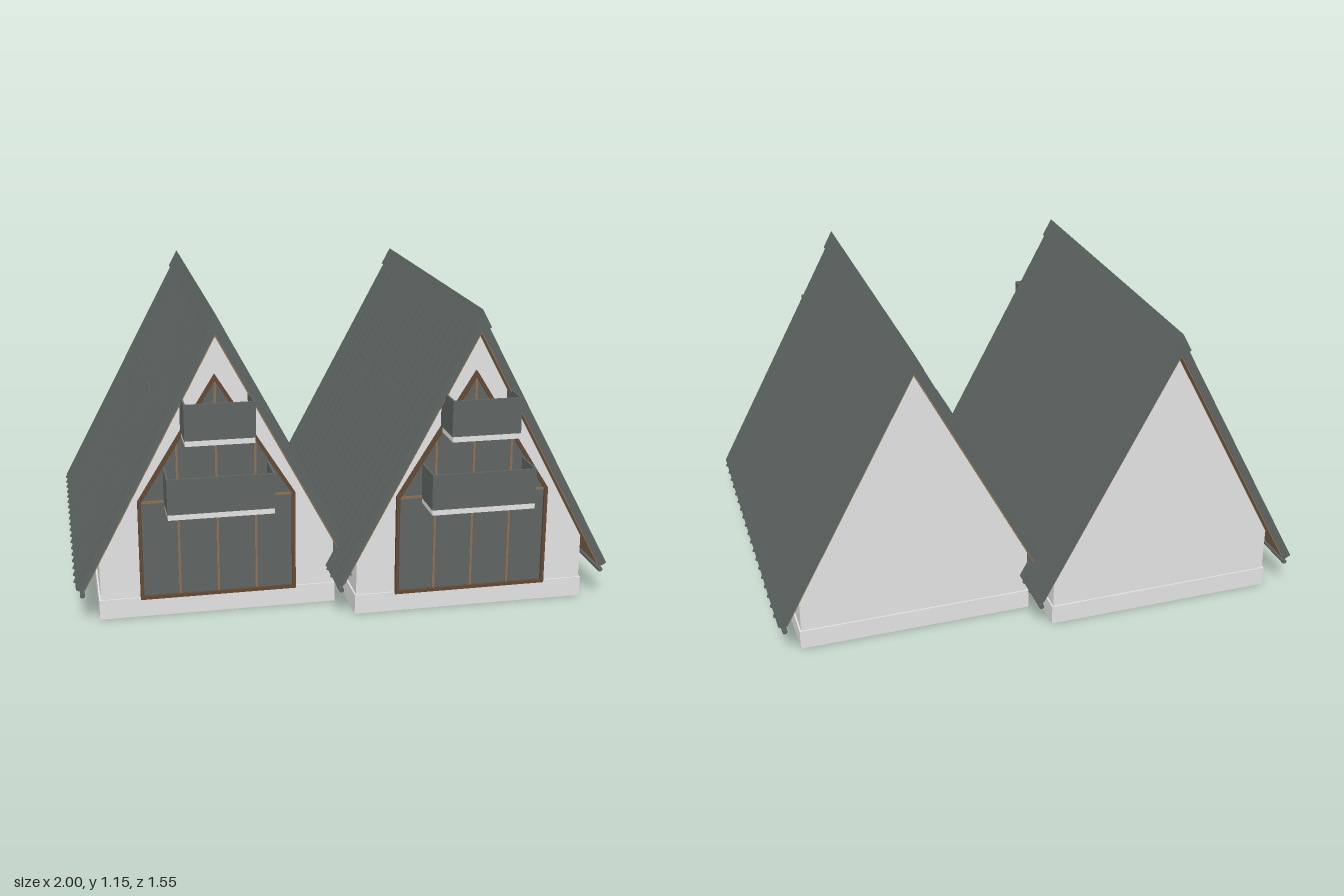
import * as THREE from 'three';

const mat = (name, color, side = THREE.FrontSide) => {
  const m = new THREE.MeshStandardMaterial({ color, side });
  m.name = name;
  return m;
};

// Roof pitch, ridge height and slope length
const RIDGE = 1.13, COS = 0.4705, SIN = 0.8824, SLOPE = 1.115, HALF = 0.6635;

export function createModel() {
  const wallMat = mat('offWhiteWall', 0xe4e4e4);
  const roofMat = mat('greyRoof', 0x5e6562);
  const panelMat = mat('greyGlass', 0x5f6663);
  const frameMat = mat('brownFrame', 0x634a35);
  const woodMat = mat('tanWood', 0x8a7055);
  const model = new THREE.Group();
  model.name = 'twinCabins';

  const add = (parent, name, geo, material, x = 0, y = 0, z = 0) => {
    const m = new THREE.Mesh(geo, material);
    m.name = name;
    m.position.set(x, y, z);
    parent.add(m);
    return m;
  };
  const box = (parent, name, material, w, h, d, x, y, z) =>
    add(parent, name, new THREE.BoxGeometry(w, h, d), material, x, y, z);
  const shapeOf = pts => new THREE.Shape(pts.map(p => new THREE.Vector2(...p)));
  const extrude = (shape, depth) => new THREE.ExtrudeGeometry(shape, { depth, bevelEnabled: false });

  // Strip lying on one slope: d runs down from the ridge, h is height above the roof plane
  const strip = (parent, name, material, s, d0, d1, h0, h1, z0, z1) => {
    const pt = (d, h) => [s * (d * COS + h * SIN), RIDGE - d * SIN + h * COS];
    const top = h => (d0 === 0 ? -h * SIN / COS : d0); // mitre at the ridge
    const shape = shapeOf([pt(top(h0), h0), pt(d1, h0), pt(d1, h1), pt(top(h1), h1)]);
    return add(parent, name, extrude(shape, z1 - z0), material, 0, 0, z0);
  };

  // Gable window outline, inset by i
  const windowOutline = i => {
    const w = 0.29 - i, apex = 0.915 - 1.887 * i;
    return [[-w, 0.07 + i], [w, 0.07 + i], [w, apex - 1.6 * w], [0, apex], [-w, apex - 1.6 * w]];
  };

  const buildRoof = house => {
    const roof = new THREE.Group();
    roof.name = 'roof';
    house.add(roof);
    for (const s of [-1, 1]) {
      strip(roof, 'roofSlab', roofMat, s, 0, SLOPE, -0.028, 0, -HALF, HALF);
      strip(roof, 'soffit', woodMat, s, 0, SLOPE - 0.01, -0.033, -0.028, -HALF + 0.004, HALF - 0.004);
      strip(roof, 'ridgeCap', roofMat, s, 0, 0.06, 0, 0.008, -HALF, HALF);
      // Standing seams
      for (let i = 1; i < 20; i++) {
        const z = -HALF + i * HALF / 10;
        strip(roof, 'roofSeam', roofMat, s, 0.06, SLOPE, 0, 0.008, z - 0.005, z + 0.005);
      }
      // Eave gutter
      const gutter = new THREE.CylinderGeometry(0.009, 0.009, 2 * HALF, 10);
      gutter.rotateX(Math.PI / 2);
      add(roof, 'gutter', gutter, roofMat, s * 0.502, 0.12, 0);
    }
    // Skylights on the right-hand slope only
    for (const z of [-0.236, 0.188]) {
      strip(roof, 'skylightFrame', roofMat, -1, 0.415, 0.523, 0, 0.013, z - 0.076, z + 0.076);
      strip(roof, 'skylightGlass', panelMat, -1, 0.427, 0.511, 0.013, 0.015, z - 0.064, z + 0.064);
    }
  };

  const buildWindow = (house, z) => {
    const win = new THREE.Group();
    win.name = 'gableWindow';
    house.add(win);
    add(win, 'windowGlass', extrude(shapeOf(windowOutline(0.005)), 0.005), panelMat, 0, 0, z);
    const frame = shapeOf(windowOutline(0));
    frame.holes.push(new THREE.Path(windowOutline(0.013).map(p => new THREE.Vector2(...p))));
    add(win, 'windowFrame', extrude(frame, 0.016), frameMat, 0, 0, z);
    // Mullions stop at the sloping frame
    for (const x of [-0.143, 0, 0.143]) {
      const top = 0.9 - 1.6 * Math.abs(x);
      box(win, 'mullion', woodMat, 0.009, top - 0.075, 0.01, x, (top + 0.075) / 2, z + 0.005);
    }
    box(win, 'transom', woodMat, 0.56, 0.009, 0.01, 0, 0.447, z + 0.005);
    box(win, 'transom', woodMat, 0.25, 0.009, 0.01, 0, 0.7, z + 0.005);
  };

  const buildBalcony = (house, z0, half, y) => {
    const z1 = 0.755, depth = z1 - z0, t = 0.007;
    const balcony = new THREE.Group();
    balcony.name = 'balcony';
    house.add(balcony);
    box(balcony, 'balconyFloor', wallMat, 2 * half - 0.004, 0.02, depth - 0.002, 0, y + 0.01, z0 + depth / 2);
    box(balcony, 'frontRailing', panelMat, 2 * half, 0.132, t, 0, y + 0.086, z1 - t / 2);
    for (const s of [-1, 1])
      box(balcony, 'sideRailing', panelMat, t, 0.132, depth - t, s * (half - t / 2), y + 0.086, z0 + (depth - t) / 2);
  };

  const buildHouse = (name, x, z) => {
    const house = new THREE.Group();
    house.name = name;
    house.position.set(x, 0, z);
    model.add(house);
    const front = 0.611, back = -0.609;
    box(house, 'plinth', wallMat, 0.884, 0.075, 1.23, 0, 0.0375, 0.001);
    const gable = shapeOf([[-0.436, 0.07], [0.436, 0.07], [0.436, 0.255], [0, 1.073], [-0.436, 0.255]]);
    add(house, 'walls', extrude(gable, front - back), wallMat, 0, 0, back);
    buildWindow(house, front);
    buildBalcony(house, front, 0.194, 0.422);
    buildBalcony(house, front, 0.127, 0.692);
    buildRoof(house);
  };

  buildHouse('rightCabin', -0.466, -0.112);
  buildHouse('leftCabin', 0.466, 0.021);
  return model;
}
